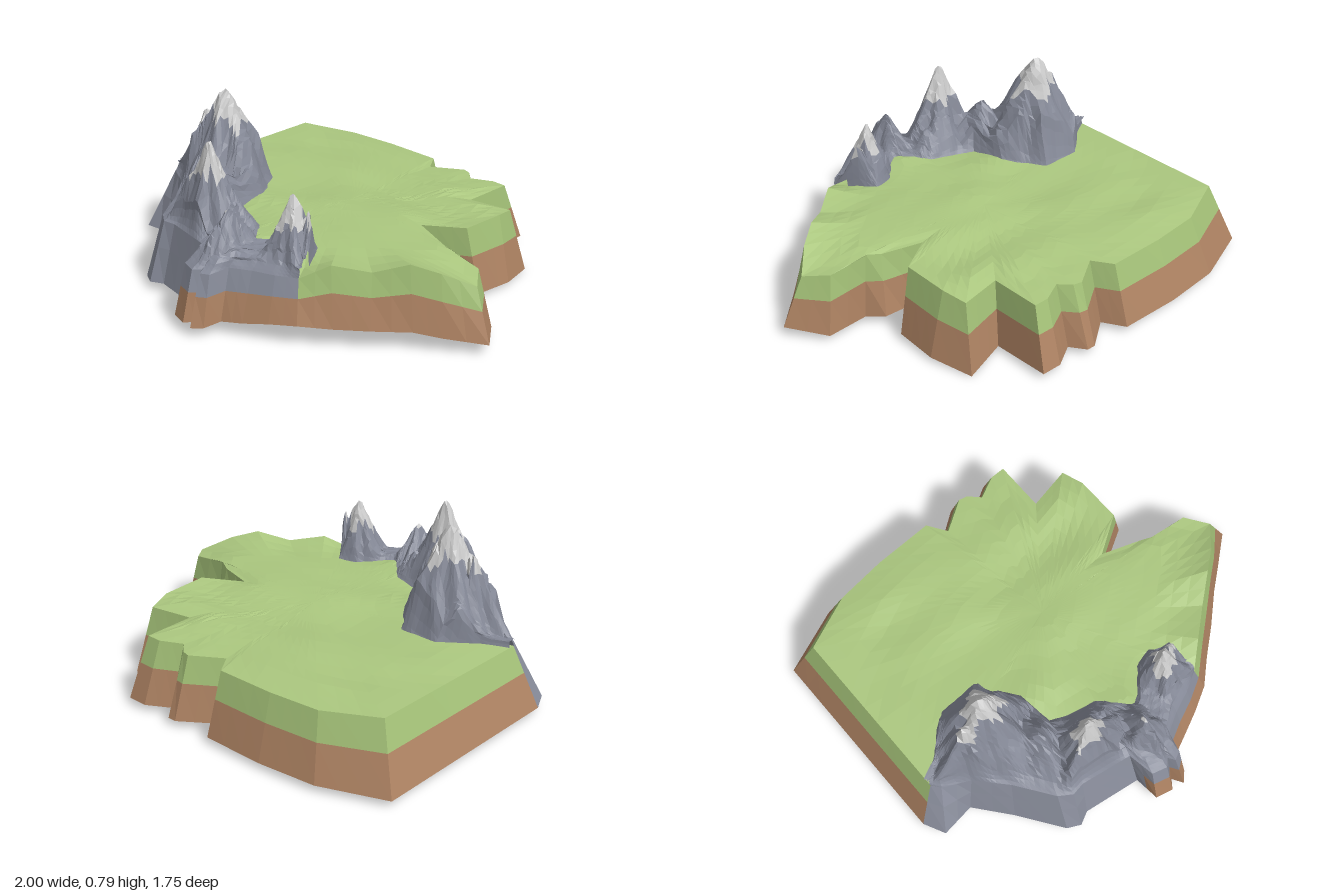
import * as THREE from 'three';

// Meadow rim, clockwise from above: foot x, z, y then rim x, z, y
const MEADOW = [
  [-1, -0.73, 0.03, -0.89, -0.65, 0.325], [-0.7, -0.85, 0.03, -0.64, -0.76, 0.31],
  [-0.42, -0.88, 0.03, -0.4, -0.785, 0.31], [-0.12, -0.88, 0.03, -0.12, -0.79, 0.31],
  [-0.06, -0.78, 0.03, -0.06, -0.7, 0.31], [0.08, -0.88, 0.03, 0.08, -0.79, 0.31],
  [0.12, -0.88, 0.03, 0.12, -0.78, 0.31], [0.17, -0.81, 0.03, 0.17, -0.73, 0.31],
  [0.28, -0.875, 0.03, 0.27, -0.78, 0.31], [0.375, -0.875, 0.03, 0.34, -0.78, 0.31],
  [0.375, -0.6, 0.02, 0.34, -0.54, 0.31], [0.58, -0.66, 0, 0.54, -0.58, 0.31],
  [0.64, -0.47, 0.02, 0.57, -0.47, 0.33], [0.635, -0.27, 0.03, 0.57, -0.25, 0.335],
  [0.43, -0.15, 0.04, 0.4, -0.14, 0.33], [0.61, -0.14, 0.04, 0.58, -0.08, 0.32],
  [0.67, -0.07, 0.03, 0.64, -0.05, 0.33], [0.87, -0.08, 0.03, 0.82, -0.04, 0.3],
  [0.995, 0.08, 0.05, 0.9, 0.06, 0.28], [0.85, 0.2, 0.07, 0.8, 0.17, 0.34],
  [0.75, 0.28, 0.09, 0.7, 0.25, 0.375], [0.62, 0.4, 0.09, 0.58, 0.35, 0.33],
  [0.5, 0.5, 0.09, 0.45, 0.46, 0.355],
];
// Cliff rim, east to west: foot, rim, then x, z where the rock meets the grass
const CLIFF = [
  [0.39, 0.6, 0.1, 0.35, 0.55, 0.29, 0.33, 0.47], [0.28, 0.66, 0.09, 0.26, 0.6, 0.29, 0.25, 0.33],
  [0.17, 0.71, 0.07, 0.16, 0.64, 0.29, 0.16, 0.36], [0.08, 0.75, 0.06, 0.07, 0.69, 0.29, 0.07, 0.46],
  [0.06, 0.83, 0.05, 0.05, 0.78, 0.28, 0.02, 0.47], [0.02, 0.87, 0.05, 0.01, 0.8, 0.28, 0, 0.45],
  [-0.01, 0.82, 0.05, -0.01, 0.77, 0.28, -0.01, 0.43], [-0.04, 0.86, 0.05, -0.04, 0.8, 0.28, -0.03, 0.4],
  [-0.12, 0.84, 0.05, -0.11, 0.78, 0.28, -0.06, 0.37], [-0.13, 0.72, 0.04, -0.14, 0.66, 0.32, -0.1, 0.35],
  [-0.4, 0.68, 0.04, -0.38, 0.62, 0.32, -0.22, 0.33], [-0.46, 0.71, 0.04, -0.44, 0.63, 0.32, -0.3, 0.3],
  [-0.52, 0.68, 0.04, -0.5, 0.59, 0.32, -0.32, 0.12], [-0.66, 0.48, 0.04, -0.62, 0.42, 0.32, -0.45, -0.04],
  [-0.79, 0.32, 0.04, -0.74, 0.29, 0.32, -0.64, -0.05], [-0.95, 0.34, 0.04, -0.86, 0.23, 0.32, -0.78, 0.09],
  [-1, 0.24, 0.04, -0.89, 0.19, 0.32, -0.89, 0.16],
];
// Summits: x, z, height, radius along x, radius along z, snow line
const PEAKS = [
  [-0.56, 0.165, 0.8, 0.29, 0.28, 0.62], [-0.66, 0.18, 0.67, 0.2, 0.17, 0.6],
  [-0.26, 0.51, 0.72, 0.22, 0.16, 0.56], [-0.4, 0.36, 0.54, 0.2, 0.22, 9],
  [-0.13, 0.46, 0.44, 0.13, 0.13, 9], [-0.02, 0.61, 0.53, 0.1, 0.17, 0.46],
  [0.22, 0.46, 0.59, 0.14, 0.14, 0.46], [0.29, 0.43, 0.51, 0.08, 0.12, 0.45],
];

const { lerp, clamp, smoothstep } = THREE.MathUtils;
const mix = (a, b, t) => a.map((v, i) => lerp(v, b[i], t));

// Seeded value noise in -1..1
const hash = (i, j) => {
  const s = Math.sin(i * 127.1 + j * 311.7) * 43758.5453;
  return (s - Math.floor(s)) * 2 - 1;
};
function noise(x, z) {
  const i = Math.floor(x), j = Math.floor(z);
  const u = smoothstep(x - i, 0, 1), v = smoothstep(z - j, 0, 1);
  return lerp(lerp(hash(i, j), hash(i + 1, j), u), lerp(hash(i, j + 1), hash(i + 1, j + 1), u), v);
}

// Splits the edges of a point list into short steps
function refine(points, step) {
  const out = [];
  for (let i = 0; i < points.length - 1; i++) {
    const a = points[i], b = points[i + 1];
    const n = Math.max(1, Math.ceil(Math.hypot(b[3] - a[3], b[4] - a[4]) / step));
    for (let k = 0; k < n; k++) out.push(mix(a, b, k / n));
  }
  return [...out, points.at(-1)];
}

// Skins rows of [x, y, z] points; pick() sorts each triangle into a named bucket
function skin(rows, pick, buckets) {
  const add = (...tri) => {
    const name = pick(tri);
    (buckets[name] ??= []).push(...tri.flat());
  };
  for (let r = 0; r < rows.length - 1; r++) {
    const p = rows[r], q = rows[r + 1];
    for (let j = 0; j < p.length - 1; j++) {
      add(p[j], q[j], q[j + 1]);
      add(p[j], q[j + 1], p[j + 1]);
    }
  }
}

// Height of the range at x, z, and the snow line of the leading summit
function mountain(x, z, base) {
  let y = base + 0.03, snow = 9;
  for (const [px, pz, top, rx, rz, line] of PEAKS) {
    const dx = (x - px) / rx, dz = (z - pz) / rz, angle = Math.atan2(dz, dx);
    const gully = 1 + 0.14 * Math.sin(angle * 5 + px * 20) + 0.08 * Math.sin(angle * 9 + pz * 30);
    const d = clamp((Math.hypot(dx, dz) - 0.06) / gully, 0, 1);
    const h = base + (top - base) * Math.pow(1 - d, 1.4);
    if (h > y) { y = h; snow = line; }
  }
  return [y, snow];
}

export function createModel() {
  const group = new THREE.Group();
  const colors = {
    grassTop: 0xabc77f, grassEdge: 0xa3c077, earthEdge: 0xad8262,
    cliffWall: 0x8a8e9c, mountains: 0x858997, snowCaps: 0xc2c2bf,
  };
  const buckets = {};

  // Island walls: a lower and an upper band
  const meadow = refine([CLIFF.at(-1).slice(0, 6), ...MEADOW, CLIFF[0].slice(0, 6)], 0.1);
  const cliff = refine(CLIFF, 0.1);
  const foot = (p) => [p[0], p[2], p[1]];
  const rim = (p) => [p[3], p[5], p[4]];
  const middle = (p) => mix(foot(p), rim(p), 0.57);
  const earthy = (tri) => Math.max(...tri.map((p) => p[0])) > -0.125;
  skin([meadow.map(foot), meadow.map(middle)], () => 'earthEdge', buckets);
  skin([meadow.map(middle), meadow.map(rim)], () => 'grassEdge', buckets);
  skin([cliff.map(foot), cliff.map(middle)], (t) => (earthy(t) ? 'earthEdge' : 'cliffWall'), buckets);
  skin([cliff.map(middle), cliff.map(rim)], () => 'cliffWall', buckets);

  // Rolling grass, in rings shrinking from the rim to the centre; it ends under the rocks
  const underRock = (p) => [lerp(p[3], p[6], 0.3), 0.31, lerp(p[4], p[7], 0.3)];
  const outline = [...meadow.map(rim), ...cliff.slice(1).map(underRock)];
  const rings = [];
  for (let k = 0; k <= 10; k++) {
    const t = 1 - k / 10;
    rings.push(outline.map(([x, y, z]) => {
      const gx = x * t, gz = lerp(-0.1, z, t);
      const hill = 0.332 + 0.018 * noise(gx * 3.5 + 4, gz * 6 + 7);
      return [gx, lerp(y, hill, Math.min(1, (1 - t) * 4)), gz];
    }));
  }
  skin(rings, () => 'grassTop', buckets);

  // Rocky range, lofted from the cliff rim back to the grass
  const columns = refine(CLIFF, 0.024);
  const rows = [];
  const snowLines = new Map();
  const steps = 26;
  for (let k = 0; k <= steps; k++) {
    const v = k / steps;
    rows.push(columns.map((c) => {
      const inner = Math.min(1, v * 6, (1 - v) * 7);
      const x = lerp(c[3], c[6], v) + 0.012 * inner * noise(c[3] * 25, v * 20);
      const z = lerp(c[4], c[7], v) + 0.012 * inner * noise(c[4] * 25 + 9, v * 20);
      const base = lerp(c[5], 0.325, Math.min(1, v * 3));
      const [top, snow] = mountain(x, z, base);
      const crag = 0.025 * noise(x * 16, z * 16) + 0.012 * noise(x * 34, z * 34);
      const rough = crag * Math.min(1, 0.2 + (top - base) * 4);
      const point = [x, lerp(base - 0.015 * v, top + rough, inner), z];
      snowLines.set(point, snow + 0.05 * noise(x * 18 + 3, z * 18));
      return point;
    }));
  }
  skin(rows, (tri) => (tri.every((p) => p[1] > snowLines.get(p)) ? 'snowCaps' : 'mountains'), buckets);

  // One flat-shaded mesh per surface
  for (const [name, positions] of Object.entries(buckets)) {
    const geometry = new THREE.BufferGeometry();
    geometry.setAttribute('position', new THREE.Float32BufferAttribute(positions, 3));
    geometry.computeVertexNormals();
    const material = new THREE.MeshStandardMaterial({
      color: colors[name], flatShading: true, side: THREE.DoubleSide,
    });
    const mesh = new THREE.Mesh(geometry, material);
    mesh.name = name;
    group.add(mesh);
  }
  return group;
}
